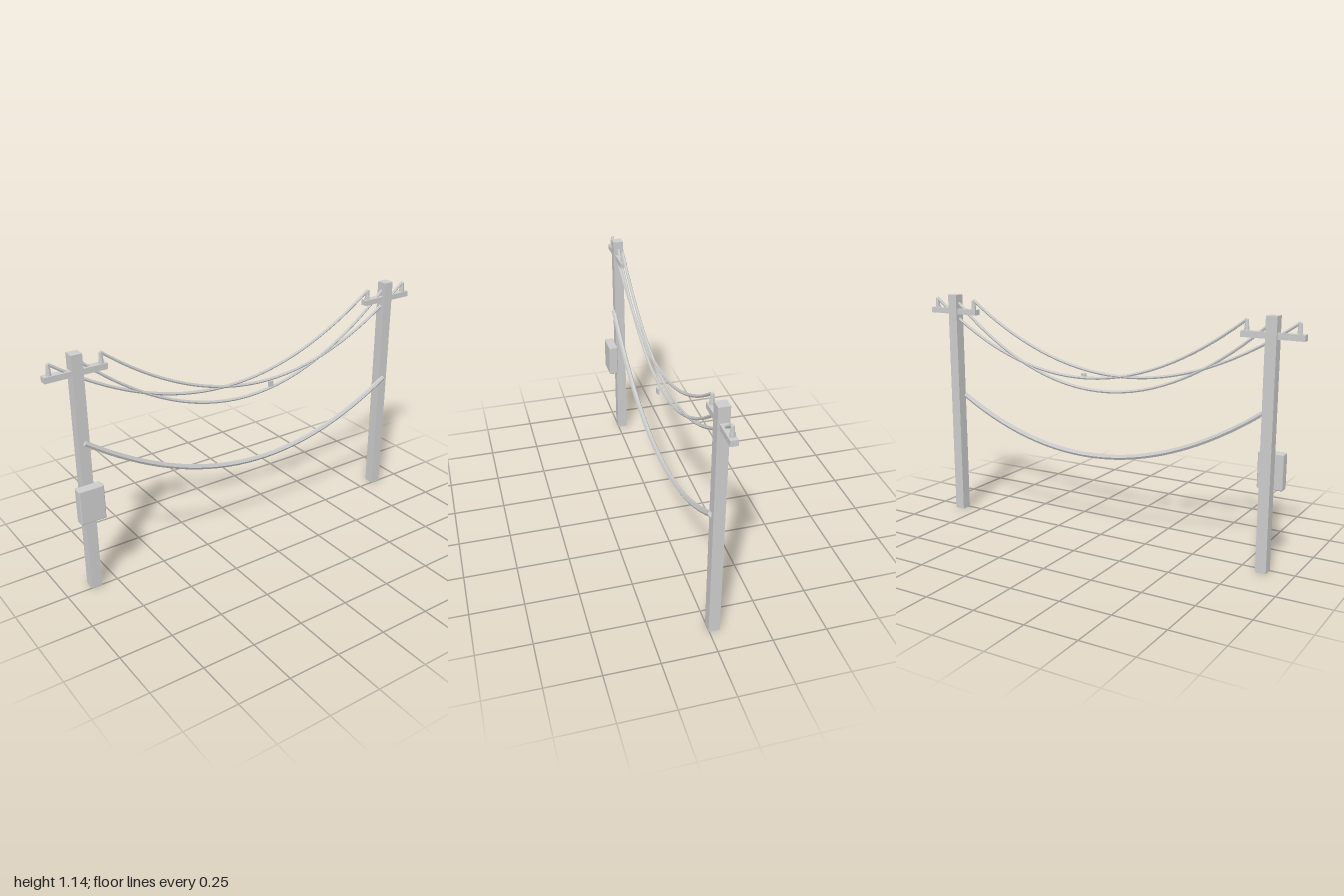
import * as THREE from 'three';
import { RoundedBoxGeometry } from 'three/addons/geometries/RoundedBoxGeometry.js';

const POLE_X = 0.855, LINE_Z = -0.0225;

export function createModel() {
  const model = new THREE.Group();
  model.name = 'utilityPoles';
  const grey = new THREE.MeshStandardMaterial({ color: 0xcccccc });
  grey.name = 'lightGrey';

  const add = (name, geometry, x, y, z, parent = model) => {
    const mesh = new THREE.Mesh(geometry, grey);
    mesh.name = name;
    mesh.position.set(x, y, z);
    parent.add(mesh);
    return mesh;
  };
  const faceted = (geometry) => {
    const flat = geometry.toNonIndexed();
    flat.computeVertexNormals();
    return flat;
  };

  // Sagging wire: a parabola hung between two ends, closed by a cap at each end
  const addWire = (name, x0, y0, x1, y1, sag, z, radius) => {
    const wire = new THREE.Group();
    wire.name = name;
    model.add(wire);
    const points = [];
    for (let i = 0; i <= 20; i++) {
      const t = i / 20;
      points.push(new THREE.Vector3(
        THREE.MathUtils.lerp(x0, x1, t),
        THREE.MathUtils.lerp(y0, y1, t) - sag * 4 * t * (1 - t), z));
    }
    const curve = new THREE.CatmullRomCurve3(points);
    add(name + 'Span', faceted(new THREE.TubeGeometry(curve, 32, radius, 6)), 0, 0, 0, wire);
    for (const [t, direction] of [[0, -1], [1, 1]]) {
      const p = curve.getPoint(t);
      const cap = add(name + 'End', new THREE.CircleGeometry(radius, 6), p.x, p.y, p.z, wire);
      cap.lookAt(p.clone().addScaledVector(curve.getTangent(t), direction));
    }
  };

  // Poles with crossarms and two tapered insulators each
  for (const side of [-1, 1]) {
    const pole = new THREE.Group();
    pole.name = side < 0 ? 'rightPole' : 'leftPole';
    model.add(pole);
    add('post', new THREE.BoxGeometry(0.051, 1.143, 0.051), side * POLE_X, 0.5715, LINE_Z, pole);
    add('crossarm', new THREE.BoxGeometry(0.285, 0.027, 0.034), side * 0.8575, 1.0585, LINE_Z, pole);
    for (const x of [0.737, 0.972]) {
      add('insulator', faceted(new THREE.CylinderGeometry(0.008, 0.0125, 0.048, 8)),
        side * x, 1.096, LINE_Z, pole);
    }
  }

  // Three upper power lines
  addWire('outerToInnerWire', -0.972, 1.12, 0.737, 1.12, 0.309, LINE_Z, 0.0075);
  addWire('innerToOuterWire', -0.737, 1.12, 0.972, 1.12, 0.335, LINE_Z, 0.0075);
  addWire('middleWire', -0.855, 1.12, 0.855, 1.12, 0.39, LINE_Z, 0.0075);

  // Thick lower cable on the front of the poles
  addWire('lowerCable', -POLE_X, 0.742, POLE_X, 0.63, 0.286, 0.006, 0.0125);

  // Small tag by the wires
  add('wireTag', new THREE.BoxGeometry(0.027, 0.027, 0.009), 0.11, 0.784, 0.0225);

  // Equipment box with softened edges
  add('equipmentBox', new RoundedBoxGeometry(0.12, 0.167, 0.048, 1, 0.006), -0.86, 0.4585, 0.026);

  return model;
}
